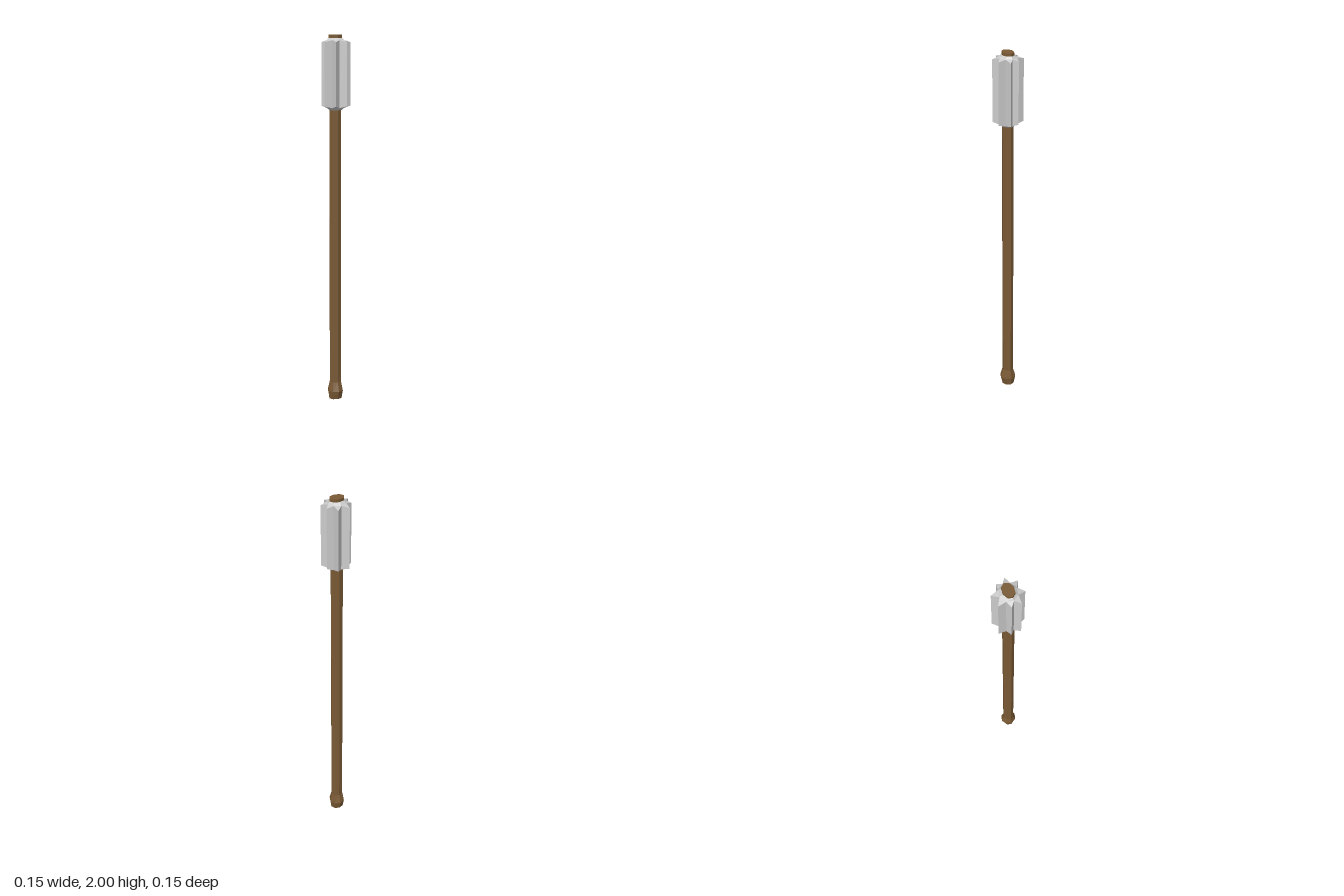
import * as THREE from 'three';

const SIDES = 8;
const wood = new THREE.MeshStandardMaterial({ color: 0x7a5a35, flatShading: true });
const metal = new THREE.MeshStandardMaterial({ color: 0xcccccc, flatShading: true });

// Elliptical eight-sided ring, counter-clockwise seen from above
function ring(y, rx, rz) {
  return Array.from({ length: SIDES }, (_, i) => {
    const a = (i / SIDES) * Math.PI * 2;
    return [Math.cos(a) * rx, y, -Math.sin(a) * rz];
  });
}

// Closed skin through equal-sized rings listed from bottom to top
function loft(rings) {
  const n = rings[0].length;
  const index = [];
  for (let r = 0; r < rings.length - 1; r++) {
    for (let i = 0; i < n; i++) {
      const a = r * n + i, b = r * n + (i + 1) % n;
      index.push(a, b, b + n, a, b + n, a + n);
    }
  }
  const top = (rings.length - 1) * n;
  for (let i = 1; i < n - 1; i++) {
    index.push(0, i + 1, i, top, top + i, top + i + 1);
  }
  const geometry = new THREE.BufferGeometry();
  geometry.setAttribute('position', new THREE.Float32BufferAttribute(rings.flat(2), 3));
  geometry.setIndex(index);
  geometry.computeVertexNormals();
  return geometry;
}

function addPart(parent, name, rings, material) {
  const mesh = new THREE.Mesh(loft(rings), material);
  mesh.name = name;
  parent.add(mesh);
}

export function createModel() {
  const model = new THREE.Group();
  model.name = 'flangedMace';

  // Wooden handle with a swollen pommel and a slightly flared top
  addPart(model, 'handle', [
    ring(0, 0.037, 0.034),
    ring(0.045, 0.043, 0.046),
    ring(0.095, 0.034, 0.03),
    ring(1.6, 0.034, 0.03),
    ring(1.98, 0.04, 0.03),
    ring(2, 0.04, 0.03),
  ], wood);

  // Metal core with sloping ends
  const head = new THREE.Group();
  head.name = 'head';
  model.add(head);
  const low = ring(1.617, 0.05, 0.047);
  const high = ring(1.972, 0.05, 0.047);
  addPart(head, 'headCore', [ring(1.605, 0.036, 0.032), low, high, ring(1.984, 0.04, 0.03)], metal);

  // One wedge-shaped flange on each face of the core: outer edge as [x, z]
  const tips = [
    [0.07, -0.024], [0.032, -0.075], [-0.032, -0.075], [-0.07, -0.024],
    [-0.077, 0.026], [-0.032, 0.072], [0.032, 0.072], [0.077, 0.026],
  ];
  tips.forEach(([x, z], i) => {
    const j = (i + 1) % SIDES;
    addPart(head, 'flange' + (i + 1), [
      [low[i], [x, 1.627, z], low[j]],
      [high[i], [x, 1.962, z], high[j]],
    ], metal);
  });

  return model;
}
